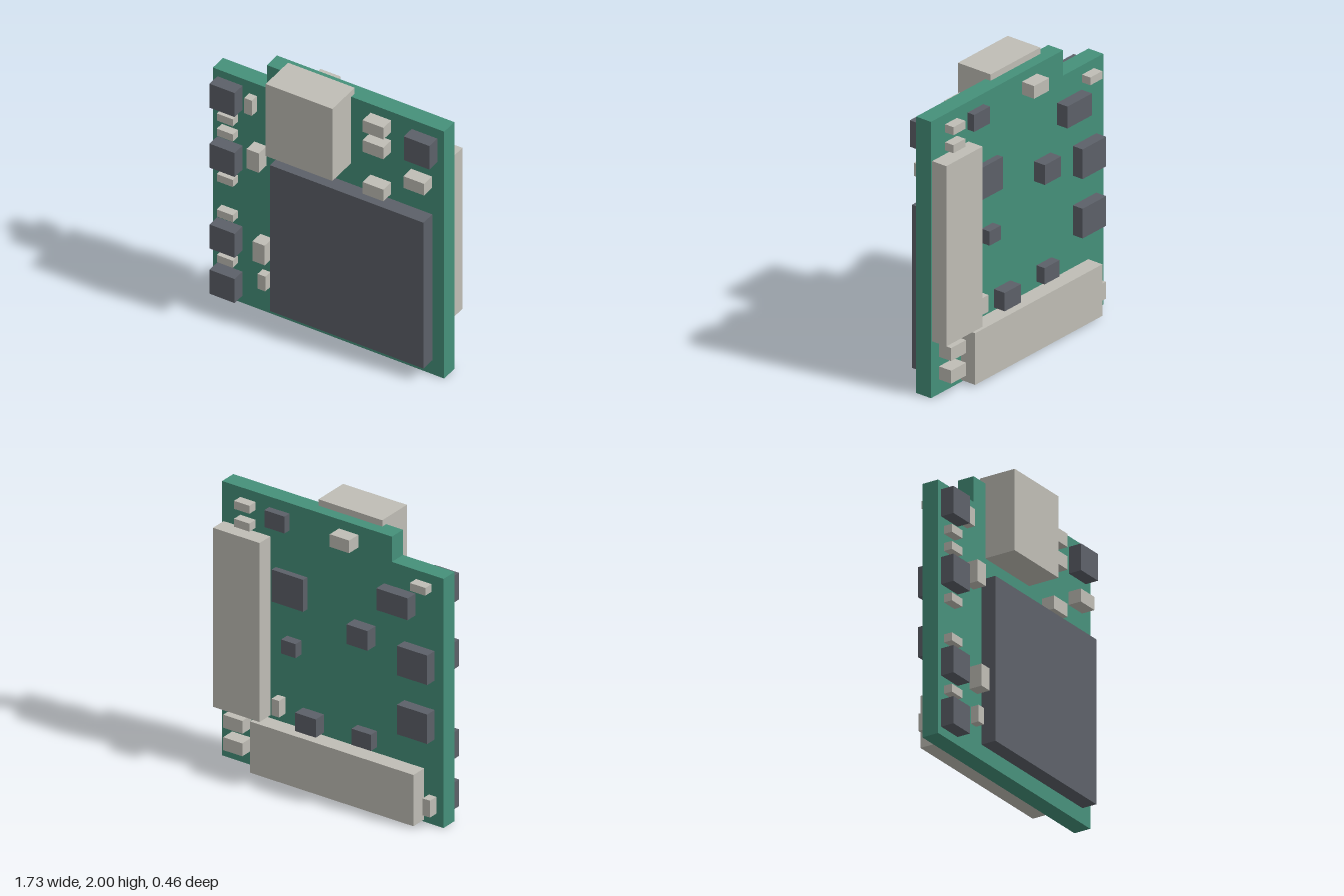
import * as THREE from 'three';

const FRONT = 0.006, BACK = -0.115;

const mat = (name, color) => {
  const m = new THREE.MeshStandardMaterial({ color });
  m.name = name;
  return m;
};

export function createModel() {
  const model = new THREE.Group();
  model.name = 'circuitBoard';
  const green = mat('board green', 0x45907a);
  const dark = mat('chip grey', 0x5c6068);
  const light = mat('component beige', 0xbfbdb5);

  // box from its extents
  const box = (name, material, x0, x1, y0, y1, z0, z1) => {
    const mesh = new THREE.Mesh(new THREE.BoxGeometry(x1 - x0, y1 - y0, z1 - z0), material);
    mesh.position.set((x0 + x1) / 2, (y0 + y1) / 2, (z0 + z1) / 2);
    mesh.name = name;
    model.add(mesh);
  };
  // parts standing off either face by height h
  const front = (name, m, x0, x1, y0, y1, h) => box(name, m, x0, x1, y0, y1, FRONT, FRONT + h);
  const back = (name, m, x0, x1, y0, y1, h) => box(name, m, x0, x1, y0, y1, BACK - h, BACK);

  // board with a notched upper corner
  const outline = new THREE.Shape([
    [-0.867, 0], [0.867, 0], [0.867, 1.955], [-0.462, 1.955], [-0.462, 1.775], [-0.867, 1.775],
  ].map(([x, y]) => new THREE.Vector2(x, y)));
  const board = new THREE.Mesh(
    new THREE.ExtrudeGeometry(outline, { depth: FRONT - BACK, bevelEnabled: false }), green);
  board.position.z = BACK;
  board.name = 'board';
  model.add(board);

  // connectors and main chip
  box('edgeConnector', light, -0.33, 0.17, 1.43, 2.0, -0.036, 0.231);
  front('mainChip', dark, -0.372, 0.778, 0.11, 1.265, 0.106);
  back('tallBackConnector', light, 0.49, 0.855, 0.398, 1.673, 0.116);
  back('wideBackConnector', light, -0.715, 0.565, 0.015, 0.38, 0.116);

  // front switches
  for (const y of [0.057, 0.415, 1.055, 1.53]) front('frontSwitch', dark, -0.833, -0.645, y, y + 0.19, 0.094);
  front('cornerSwitch', dark, 0.623, 0.815, 1.693, 1.88, 0.094);

  // small front components
  for (const y of [0.3, 0.66, 0.94, 1.3, 1.42]) front('frontResistor', light, -0.8, -0.68, y, y + 0.056, 0.06);
  for (const y of [1.305, 1.637, 1.795]) front('frontCapacitor', light, 0.315, 0.47, y, y + 0.092, 0.094);
  front('frontCapacitor', light, 0.62, 0.775, 1.472, 1.564, 0.094);
  front('frontCapacitor', light, -0.556, -0.464, 1.16, 1.313, 0.094);
  front('frontCapacitor', light, -0.511, -0.42, 0.445, 0.6, 0.094);
  front('frontResistor', light, -0.595, -0.537, 1.56, 1.68, 0.06);
  front('frontResistor', light, -0.494, -0.436, 0.21, 0.327, 0.06);

  // back chips: x0, x1, y0, y1, height
  [
    [0.34, 0.498, 1.76, 1.88, 0.054],
    [0.2, 0.447, 1.24, 1.468, 0.045],
    [-0.648, -0.402, 1.45, 1.605, 0.085],
    [-0.335, -0.17, 1.14, 1.28, 0.088],
    [0.245, 0.358, 0.905, 1.005, 0.066],
    [-0.797, -0.56, 1.03, 1.24, 0.08],
    [-0.797, -0.56, 0.61, 0.82, 0.08],
    [0.07, 0.233, 0.4, 0.53, 0.088],
    [-0.345, -0.195, 0.42, 0.535, 0.066],
  ].forEach((p) => back('backChip', dark, ...p));

  // small back components
  for (const y of [1.7, 1.827]) back('backResistor', light, 0.605, 0.725, y, y + 0.057, 0.068);
  for (const y of [0.103, 0.263]) back('backCapacitor', light, 0.637, 0.787, y, y + 0.092, 0.1);
  back('backCapacitor', light, -0.2, -0.048, 1.8, 1.89, 0.1);
  back('backResistor', light, -0.773, -0.652, 1.655, 1.71, 0.068);
  back('backResistor', light, 0.372, 0.43, 0.445, 0.563, 0.068);
  back('backResistor', light, -0.81, -0.752, 0.085, 0.205, 0.068);

  return model;
}
